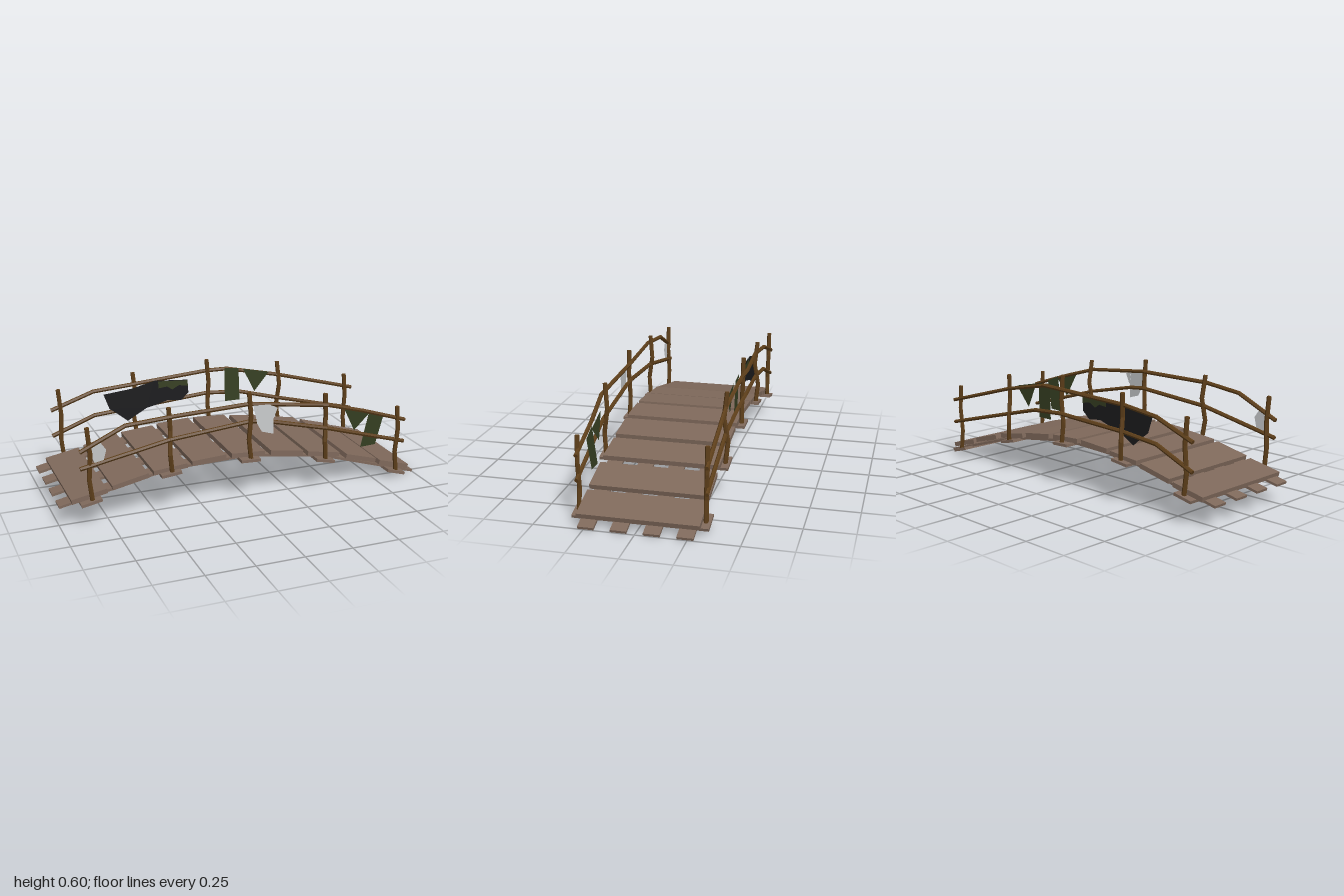
import * as THREE from 'three';
import { mergeGeometries } from 'three/addons/utils/BufferGeometryUtils.js';

const material = (name, color, extra = {}) => {
  const m = new THREE.MeshStandardMaterial({ color, ...extra });
  m.name = name;
  return m;
};

export function createModel() {
  const plankWood = material('plankWood', 0x7f695b, { flatShading: true });
  const branchWood = material('branchWood', 0x5e3f1a, { flatShading: true });
  const green = material('greenCloth', 0x363f22, { side: THREE.DoubleSide });
  const black = material('blackCloth', 0x1b1b1d, { side: THREE.DoubleSide });
  const white = material('whiteCloth', 0xc6c8ca, { side: THREE.DoubleSide });
  const model = new THREE.Group();
  model.name = 'footbridge';

  const add = (name, geometry, mat) => {
    const mesh = new THREE.Mesh(geometry, mat);
    mesh.name = name;
    model.add(mesh);
    return mesh;
  };

  // Flat board whose centre line runs from (x1, y1) to (x2, y2)
  const board = (name, [x1, y1], [x2, y2], z, width, thick) => {
    const mesh = add(name, new THREE.BoxGeometry(Math.hypot(x2 - x1, y2 - y1), thick, width), plankWood);
    mesh.position.set((x1 + x2) / 2, (y1 + y2) / 2, z);
    mesh.rotation.z = Math.atan2(y2 - y1, x2 - x1);
  };

  // Crooked branch: six-sided straight pieces joined end to end
  const branch = (name, points, r) => {
    const up = new THREE.Vector3(0, 1, 0);
    const pieces = [];
    for (let i = 0; i + 1 < points.length; i++) {
      const a = new THREE.Vector3(...points[i]), b = new THREE.Vector3(...points[i + 1]);
      const dir = b.clone().sub(a), len = dir.length();
      const g = new THREE.CylinderGeometry(r, r, len + 0.006, 6);
      g.applyQuaternion(new THREE.Quaternion().setFromUnitVectors(up, dir.normalize()));
      const c = a.add(b).multiplyScalar(0.5);
      pieces.push(g.translate(c.x, c.y, c.z));
    }
    add(name, mergeGeometries(pieces), branchWood);
  };

  // Hanging cloth: outline in x, y, with a depth for every point
  const cloth = (name, outline, z, mat, lean = 0) => {
    const g = new THREE.ShapeGeometry(new THREE.Shape(outline.map(([x, y]) => new THREE.Vector2(x, y))));
    const p = g.attributes.position;
    const top = Math.max(...outline.map(q => q[1]));
    for (let i = 0; i < p.count; i++) p.setZ(i, z + lean * (top - p.getY(i)));
    g.computeVertexNormals();
    add(name, g, mat);
  };

  // Long stringers under the deck
  const arch = [[-1, 0.112], [-0.43, 0.232], [0, 0.245], [0.43, 0.182], [0.998, 0.009]];
  for (const z of [-0.24, -0.08, 0.08, 0.24])
    for (let i = 0; i < 4; i++) board('stringer', arch[i], arch[i + 1], z, 0.08, 0.013);

  // Deck planks: start x, end x, centre y, slope
  [
    [-0.94, -0.757, 0.156, 0.19], [-0.73, -0.54, 0.203, 0.21], [-0.515, -0.335, 0.238, 0.09],
    [-0.31, -0.125, 0.258, 0.06], [-0.095, 0.09, 0.258, -0.05], [0.125, 0.31, 0.235, -0.14],
    [0.34, 0.525, 0.197, -0.17], [0.57, 0.75, 0.139, -0.28], [0.775, 0.955, 0.074, -0.28],
  ].forEach(([a, b, y, s]) => {
    const d = s * (b - a) / 2;
    board('deckPlank', [a, y - d], [b, y + d], 0, 0.6, 0.025);
  });

  // Cross boards that carry the posts
  const posts = [[-0.845, 0.133, 0.52, 0.2], [-0.43, 0.222, 0.57, 0.11], [0, 0.234, 0.597, -0.04],
    [0.43, 0.17, 0.54, -0.22], [0.865, 0.041, 0.415, -0.29]];
  posts.forEach(([x, y, , s]) =>
    board('crossBoard', [x - 0.053, y - s * 0.053], [x + 0.053, y + s * 0.053], 0, 0.67, 0.015));

  // Crooked posts on both sides
  for (const side of [1, -1])
    posts.forEach(([x, y, top], i) => {
      const w = i % 2 ? 0.006 : -0.006, h = top - y;
      branch('post', [
        [x + 0.008, y, side * 0.312], [x - 0.004, y + h * 0.3, side * (0.316 + w)],
        [x + 0.005, y + h * 0.65, side * (0.308 - w)], [x - 0.006, top, side * 0.314],
      ], 0.012);
    });

  // Two wavy handrails per side
  const rails = {
    frontUpperRail: [[-0.89, 0.405, 0.32], [-0.66, 0.51, 0.316], [-0.43, 0.53, 0.33], [0, 0.535, 0.302],
      [0.43, 0.485, 0.332], [0.65, 0.42, 0.312], [0.91, 0.335, 0.306]],
    frontLowerRail: [[-0.89, 0.315, 0.315], [-0.43, 0.405, 0.316], [0, 0.44, 0.302],
      [0.1, 0.43, 0.305], [0.43, 0.355, 0.326], [0.91, 0.21, 0.306]],
    backUpperRail: [[-0.89, 0.41, -0.32], [-0.66, 0.49, -0.315], [-0.43, 0.51, -0.303], [0, 0.53, -0.334],
      [0.12, 0.53, -0.328], [0.43, 0.465, -0.31], [0.91, 0.33, -0.322]],
    backLowerRail: [[-0.89, 0.265, -0.318], [-0.66, 0.355, -0.312], [-0.43, 0.375, -0.306], [0, 0.4, -0.33],
      [0.2, 0.385, -0.325], [0.43, 0.325, -0.31], [0.91, 0.2, -0.322]],
  };
  for (const [name, points] of Object.entries(rails)) branch(name, points, 0.011);

  // Green pennants
  cloth('squarePennant', [[0.1, 0.54], [0.185, 0.53], [0.19, 0.345], [0.1, 0.345]], -0.31, green, 0.03);
  cloth('trianglePennant', [[0.21, 0.525], [0.37, 0.49], [0.28, 0.385]], -0.305, green, 0.03);
  cloth('trianglePennant', [[0.545, 0.44], [0.7, 0.395], [0.615, 0.305]], 0.3, green, -0.08);
  cloth('squarePennant', [[0.7, 0.41], [0.79, 0.375], [0.75, 0.205], [0.66, 0.2]], 0.295, green, -0.05);

  // Torn black blanket with green patches on both faces
  cloth('blackBlanket', [[-0.61, 0.475], [-0.45, 0.49], [-0.32, 0.52], [-0.13, 0.505], [-0.125, 0.43],
    [-0.17, 0.39], [-0.25, 0.4], [-0.3, 0.385], [-0.37, 0.37], [-0.48, 0.31], [-0.54, 0.36], [-0.58, 0.39]],
    -0.288, black, 0.03);
  for (const z of [-0.284, -0.292])
    cloth('blanketPatch', [[-0.3, 0.515], [-0.13, 0.503], [-0.128, 0.47], [-0.18, 0.48], [-0.22, 0.46],
      [-0.25, 0.48], [-0.3, 0.475]], z, green, 0.03);

  // Pale rags tied to the front railing
  cloth('paleRag', [[0.015, 0.53], [0.11, 0.525], [0.125, 0.45], [0.125, 0.365], [0.06, 0.385], [0.035, 0.43]],
    0.32, white, 0.04);
  cloth('paleRagFold', [[0.11, 0.525], [0.15, 0.5], [0.125, 0.44]], 0.318, white, 0.04);
  cloth('paleRag', [[-0.855, 0.425], [-0.79, 0.445], [-0.76, 0.4], [-0.775, 0.345], [-0.82, 0.335]],
    0.322, white, -0.04);
  return model;
}
